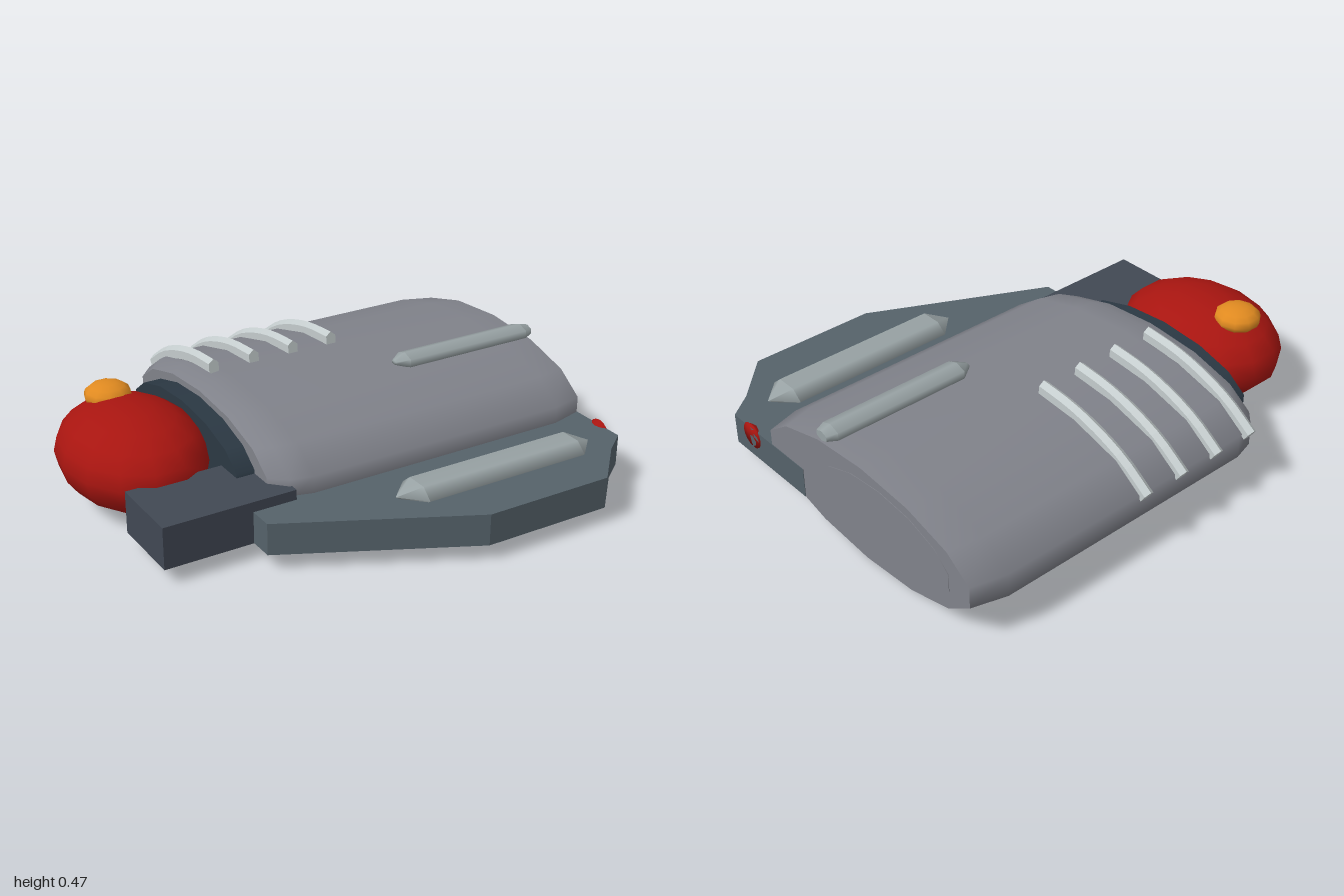
import * as THREE from 'three';

const COLORS = {
  hull: 0x80828a, collar: 0x2b3843, plate: 0x55626a, arm: 0x414853,
  red: 0xa81510, orange: 0xe08a20, rib: 0xc4cccd, rod: 0x98a2a4,
};

function add(group, name, geometry, color) {
  const mesh = new THREE.Mesh(geometry, new THREE.MeshStandardMaterial({ color }));
  mesh.name = name;
  group.add(mesh);
  return mesh;
}

// Turned body lying along x: profile of [radius, x], squashed to an ellipse in y and z
function turned(profile, sides, phi, ry, rz, y, z) {
  const points = profile.map(([r, x]) => new THREE.Vector2(r, x));
  return new THREE.LatheGeometry(points, sides, phi)
    .rotateZ(-Math.PI / 2)
    .scale(1, ry, rz)
    .translate(0, y, z);
}

// Ellipsoid with its poles up and down
function ellipsoid(rx, ry, rz, x, y, z, w, h) {
  return new THREE.SphereGeometry(1, w, h).scale(rx, ry, rz).translate(x, y, z);
}

export function createModel() {
  const model = new THREE.Group();
  const half14 = Math.PI / 14;

  // Main hull; doubled points keep the end rims sharp
  add(model, 'hull', turned([
    [0, -0.42], [0.86, -0.42], [0.86, -0.42], [0.96, -0.36], [1, -0.27],
    [1, 0.86], [0.94, 0.998], [0.94, 0.998], [0, 0.998],
  ], 14, half14, 0.215, 0.63, 0.22, -0.225), COLORS.hull);

  // Shallow panel on the hull's end
  add(model, 'endPanel', turned([[1, 0.98], [1, 1], [1, 1], [0, 1]],
    14, half14, 0.165, 0.38, 0.215, -0.325), COLORS.hull);

  // Dark collar between hull and dome
  add(model, 'collar', turned([
    [0, -0.495], [1, -0.495], [1, -0.495], [1, -0.42], [1, -0.42], [0, -0.42],
  ], 14, half14, 0.16, 0.447, 0.22, -0.225), COLORS.collar);

  // Red dome with orange lamp
  add(model, 'dome', ellipsoid(0.285, 0.2, 0.365, -0.715, 0.22, -0.225, 14, 10), COLORS.red);
  add(model, 'domeLamp', ellipsoid(0.095, 0.052, 0.095, -0.725, 0.393, -0.405, 10, 8), COLORS.orange);

  // Arm block in front of the dome
  add(model, 'armBlock', new THREE.BoxGeometry(0.54, 0.17, 0.31).translate(-0.62, 0.155, 0.245), COLORS.arm);

  // Wing plate: outline in x and z, extruded upward
  const outline = [[-0.53, 0.15], [-0.53, 0.5], [0.19, 0.855], [0.73, 0.855],
    [0.9, 0.68], [1, 0.605], [1, 0.15]];
  const plateShape = new THREE.Shape(outline.map(([x, z]) => new THREE.Vector2(x, -z)));
  const plate = new THREE.ExtrudeGeometry(plateShape, { depth: 0.128, bevelEnabled: false })
    .rotateX(-Math.PI / 2).translate(0, 0.071, 0);
  add(model, 'wingPlate', plate, COLORS.plate);

  // Six-sided pod on the plate and rod on the hull
  add(model, 'platePod', turned([
    [0.02, -0.04], [1, 0.05], [1, 0.05], [1, 0.77], [1, 0.77], [0.02, 0.86],
  ], 6, 0, 0.045, 0.09, 0.207, 0.585), COLORS.rod);
  add(model, 'hullRod', turned([
    [0, 0.335], [0.3, 0.335], [1, 0.385], [1, 0.385], [1, 0.96], [1, 0.96], [0.65, 1], [0.65, 1], [0, 1],
  ], 6, Math.PI / 6, 0.032, 0.052, 0.437, 0), COLORS.rod);

  // Side lamp at the plate's end, cut flush with it
  const lamp = ellipsoid(0.055, 0.055, 0.06, 1.02, 0.165, 0.49, 10, 8);
  const pos = lamp.attributes.position;
  for (let i = 0; i < pos.count; i++) pos.setX(i, Math.min(pos.getX(i), 1));
  add(model, 'sideLamp', lamp, COLORS.red);

  // Four curved ribs hugging the hull's back
  const ribShape = new THREE.Shape();
  for (let i = 0; i < 6; i++) {
    const a = (i * Math.PI) / 3;
    const p = [0.025 * Math.sin(a), 0.034 * Math.cos(a)];
    if (i) ribShape.lineTo(...p); else ribShape.moveTo(...p);
  }
  const ribLine = [[0.446, -0.31], [0.432, -0.46], [0.398, -0.6], [0.345, -0.73], [0.262, -0.855]];
  for (const x of [-0.31, -0.13, 0.05, 0.23]) {
    const path = new THREE.CatmullRomCurve3(ribLine.map(([y, z]) => new THREE.Vector3(x, y, z)));
    const rib = new THREE.ExtrudeGeometry(ribShape, { steps: 10, extrudePath: path, bevelEnabled: false });
    add(model, 'rib', rib, COLORS.rib);
  }

  return model;
}
